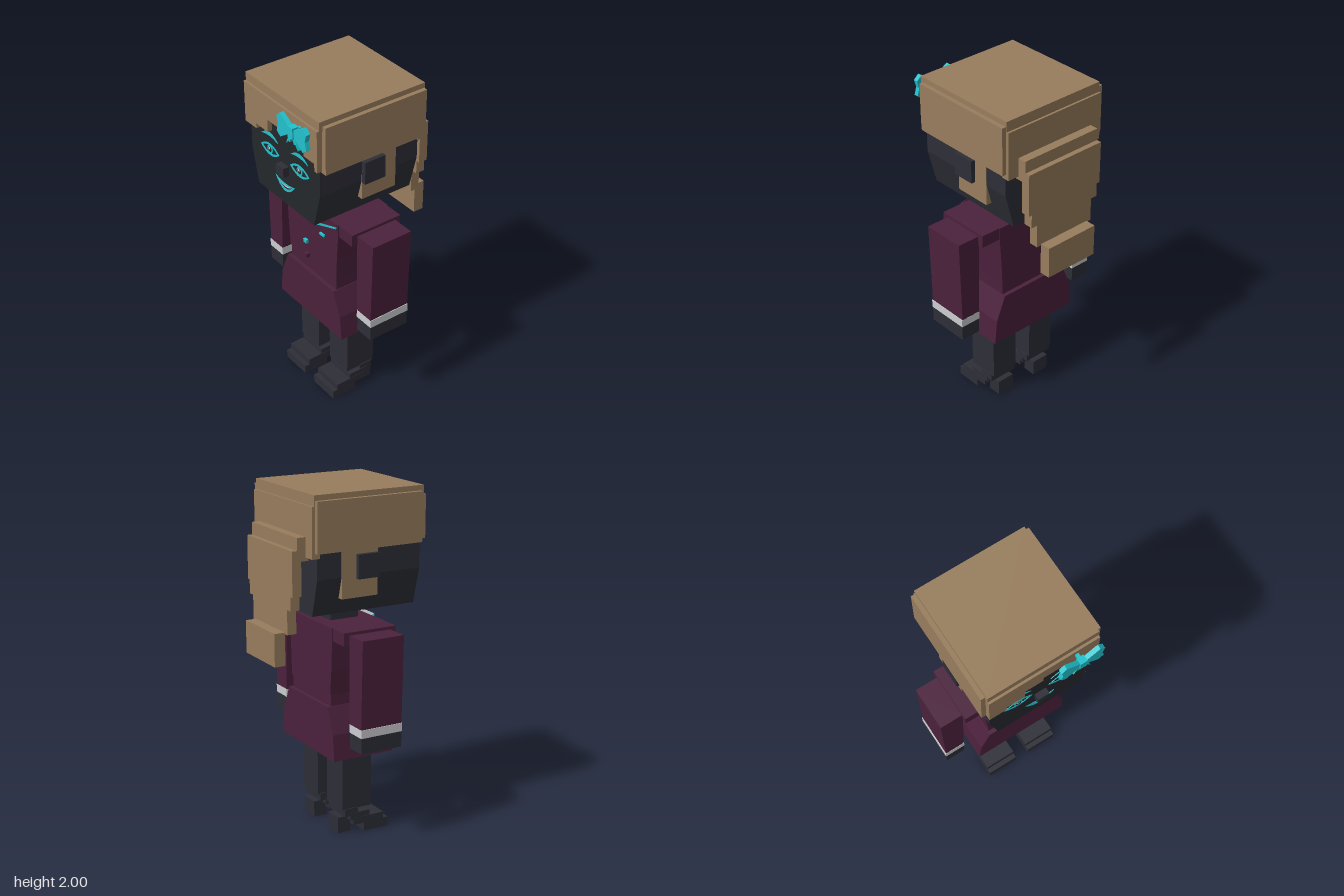
import * as THREE from 'three';

const mat = (name, color) => new THREE.MeshStandardMaterial({ name, color });

export function createModel() {
  const hair = mat('hair brown', 0x987d5d);
  const dark = mat('charcoal', 0x2d2e37);
  const faceDark = mat('face charcoal', 0x25282c);
  const cloth = mat('burgundy', 0x4b213c);
  const cyan = mat('cyan', 0x22c2cd);
  const white = mat('off white', 0xcccdd0);

  const model = new THREE.Group();
  model.name = 'figure';

  const group = (name) => {
    const g = new THREE.Group();
    g.name = name;
    model.add(g);
    return g;
  };
  const add = (parent, name, geometry, material) => {
    const m = new THREE.Mesh(geometry, material);
    m.name = name;
    parent.add(m);
    return m;
  };
  // Box given by its extents
  const box = (parent, name, material, x0, x1, y0, y1, z0, z1) =>
    add(parent, name, new THREE.BoxGeometry(x1 - x0, y1 - y0, z1 - z0), material)
      .position.set((x0 + x1) / 2, (y0 + y1) / 2, (z0 + z1) / 2);
  // Front outline pushed through from z0 to z1
  const slab = (parent, name, material, outline, z0, z1) => {
    const shape = outline instanceof THREE.Shape ? outline
      : new THREE.Shape(outline.map(([x, y]) => new THREE.Vector2(x, y)));
    const g = new THREE.ExtrudeGeometry(shape, { depth: z1 - z0, bevelEnabled: false, curveSegments: 10 });
    g.translate(0, 0, z0);
    add(parent, name, g, material);
  };
  // Symmetric outline from its right half, bottom to top
  const mirrored = (half) => [...half, ...half.map(([x, y]) => [-x, y]).reverse()];
  // Lens or crescent between two arcs; top and bottom are the mid heights
  const lens = (cx, w, yEnd, top, bottom, Type = THREE.Shape) => {
    const s = new Type();
    s.moveTo(cx - w, yEnd);
    s.quadraticCurveTo(cx, 2 * bottom - yEnd, cx + w, yEnd);
    s.quadraticCurveTo(cx, 2 * top - yEnd, cx - w, yEnd);
    return s;
  };

  // Head
  const head = group('head');
  const jaw = [[0.26, 1.33], [0.315, 1.54], [0.315, 1.95]];
  slab(head, 'skull', dark, mirrored(jaw), -0.28, 0.364);
  slab(head, 'facePlate', faceDark, mirrored(jaw), 0.364, 0.367);
  box(head, 'nose', dark, -0.035, 0.035, 1.525, 1.582, 0.366, 0.404);
  box(head, 'neck', dark, -0.085, 0.085, 1.22, 1.34, -0.065, 0.115);

  // Painted face
  const Z0 = 0.366, Z1 = 0.37;
  for (const cx of [-0.137, 0.137]) {
    const eye = lens(cx, 0.086, 1.607, 1.643, 1.571);
    eye.holes.push(lens(cx, 0.068, 1.607, 1.632, 1.584, THREE.Path));
    slab(head, 'eyeOutline', cyan, eye, Z0, Z1);
    const iris = new THREE.Shape().absarc(cx, 1.608, 0.025, 0, Math.PI * 2);
    slab(head, 'iris', cyan, iris, Z0, Z1);
    const pupil = new THREE.Shape().absarc(cx, 1.608, 0.016, 0, Math.PI * 2);
    slab(head, 'pupil', faceDark, pupil, Z0, Z1 + 0.001);
    box(head, 'eyeGlint', white, cx - 0.01, cx + 0.004, 1.607, 1.621, Z0, Z1 + 0.002);
    slab(head, 'eyebrow', cyan, lens(cx, 0.078, 1.678, 1.713, 1.691), Z0, Z1);
  }
  const lips = lens(0, 0.09, 1.475, 1.459, 1.412);
  lips.holes.push(lens(0, 0.066, 1.462, 1.45, 1.428, THREE.Path));
  slab(head, 'lips', cyan, lips, Z0, Z1);
  slab(head, 'teeth', white, lens(0, 0.06, 1.46, 1.451, 1.439), Z0, Z1 - 0.001);

  // Hair cap, fringe and sides
  const hairGroup = group('hair');
  box(hairGroup, 'hairCap', hair, -0.33, 0.33, 1.94, 2, -0.305, 0.38);
  slab(hairGroup, 'fringe', hair, [
    [-0.33, 1.95], [-0.33, 1.705], [-0.225, 1.705], [-0.225, 1.735], [-0.115, 1.735],
    [-0.115, 1.81], [-0.005, 1.81], [-0.005, 1.85], [0.11, 1.85], [0.11, 1.81],
    [0.21, 1.81], [0.21, 1.75], [0.305, 1.75], [0.305, 1.705], [0.33, 1.705], [0.33, 1.95],
  ], 0.362, 0.394);
  box(hairGroup, 'backPlate', hair, -0.33, 0.33, 1.66, 1.94, -0.318, -0.27);
  for (const s of [-1, 1]) {
    const side = (name, m, a, b, ...rest) =>
      box(hairGroup, name, m, Math.min(s * a, s * b), Math.max(s * a, s * b), ...rest);
    side('sideHair', hair, 0.305, 0.355, 1.69, 1.97, -0.3, 0.358);
    side('sideburn', hair, 0.26, 0.319, 1.42, 1.7, -0.13, 0.095);
    side('ear', dark, 0.3, 0.345, 1.525, 1.66, -0.04, 0.095);
  }

  // Long hair down the back
  box(hairGroup, 'upperTail', hair, -0.26, 0.26, 1.64, 1.77, -0.37, -0.3);
  slab(hairGroup, 'middleTail', hair,
    mirrored([[0.2, 1.23], [0.2, 1.37], [0.24, 1.37], [0.24, 1.45], [0.26, 1.45], [0.26, 1.7]]), -0.4, -0.345);
  box(hairGroup, 'lowerTail', hair, -0.17, 0.17, 1.05, 1.238, -0.463, -0.398);

  // Hair bow
  const bow = group('bow');
  const bx = 0.19;
  for (const s of [-1, 1]) {
    const at = (pts) => pts.map(([x, y]) => [bx + s * x, y]);
    slab(bow, 'bowLoop', cyan, at([[0.02, 1.885], [0.1, 1.83], [0.13, 1.855],
      [0.118, 1.9], [0.13, 1.945], [0.1, 1.972], [0.02, 1.925]]), 0.426, 0.453);
    slab(bow, 'bowTail', cyan, at([[0.002, 1.885], [0.018, 1.835], [0.03, 1.842],
      [0.052, 1.815], [0.02, 1.89]]), 0.43, 0.45);
  }
  box(bow, 'bowKnot', cyan, bx - 0.021, bx + 0.021, 1.87, 1.935, 0.42, 0.46);
  box(bow, 'bowPin', cyan, bx - 0.01, bx + 0.01, 1.897, 1.917, 0.39, 0.425);

  // Jacket and skirt
  const outfit = group('outfit');
  slab(outfit, 'jacket', cloth, [[-0.22, 0.858], [0.03, 0.81], [0.222, 0.858],
    [0.228, 1], [0.24, 1.17], [0.24, 1.242], [-0.24, 1.242], [-0.24, 1.17], [-0.232, 1]], -0.145, 0.195);
  box(outfit, 'waist', cloth, -0.217, 0.217, 0.78, 0.87, -0.14, 0.19);
  slab(outfit, 'skirt', cloth, mirrored([[0.298, 0.488], [0.283, 0.64], [0.222, 0.788]]), -0.165, 0.215);
  slab(outfit, 'shirt', white, [[-0.125, 1.257], [0.02, 1.15], [0.125, 1.257]], 0.193, 0.197);
  slab(outfit, 'rightCollarTrim', cyan, [[-0.125, 1.257], [-0.125, 1.243], [0.025, 1.135], [0.025, 1.15]], 0.193, 0.2);
  slab(outfit, 'leftCollarTrim', cyan, [[0.022, 1.135], [0.225, 1.213], [0.225, 1.226], [0.022, 1.152]], 0.193, 0.2);
  slab(outfit, 'leftLapel', cloth, [[-0.05, 1.06], [0.225, 1.196], [0.225, 1.214], [0.025, 1.137]], 0.193, 0.198);
  slab(outfit, 'leftCollar', cloth, [[0.03, 1.154], [0.225, 1.226], [0.225, 1.242], [0.13, 1.257]], 0.193, 0.199);
  box(outfit, 'pocketTrim', cyan, 0.15, 0.19, 1.164, 1.175, 0.245, 0.258);
  box(outfit, 'upperButton', cyan, -0.01, 0.018, 1.018, 1.04, 0.236, 0.252);
  box(outfit, 'lowerButton', cloth, -0.008, 0.02, 0.92, 0.944, 0.23, 0.252);

  // Arms and legs, mirrored
  for (const s of [-1, 1]) {
    const limb = group(s > 0 ? 'leftLimbs' : 'rightLimbs');
    const span = (name, m, a, b, ...rest) =>
      box(limb, name, m, Math.min(s * a, s * b), Math.max(s * a, s * b), ...rest);
    span('shoulder', cloth, 0.23, 0.36, 1.168, 1.242, -0.14, 0.19);
    slab(limb, 'sleeve', cloth,
      [[0.365, 0.72], [0.485, 0.72], [0.497, 1.225], [0.355, 1.225]].map(([x, y]) => [s * x, y]), -0.105, 0.155);
    span('cuff', white, 0.363, 0.489, 0.673, 0.721, -0.106, 0.157);
    span('hand', dark, 0.366, 0.486, 0.582, 0.675, -0.104, 0.155);

    span('leg', dark, 0.055, 0.228, 0.15, 0.5, -0.07, 0.12);
    span('toe', dark, 0.045, 0.238, 0, 0.055, 0.07, 0.23);
    span('upperToe', dark, 0.045, 0.238, 0.05, 0.092, 0, 0.2);
    span('instep', dark, 0.047, 0.236, 0.082, 0.125, -0.02, 0.107);
    span('ankle', dark, 0.05, 0.233, 0.108, 0.155, -0.055, 0.03);
    span('heel', dark, 0.085, 0.195, 0, 0.096, -0.078, 0.005);
  }
  return model;
}
